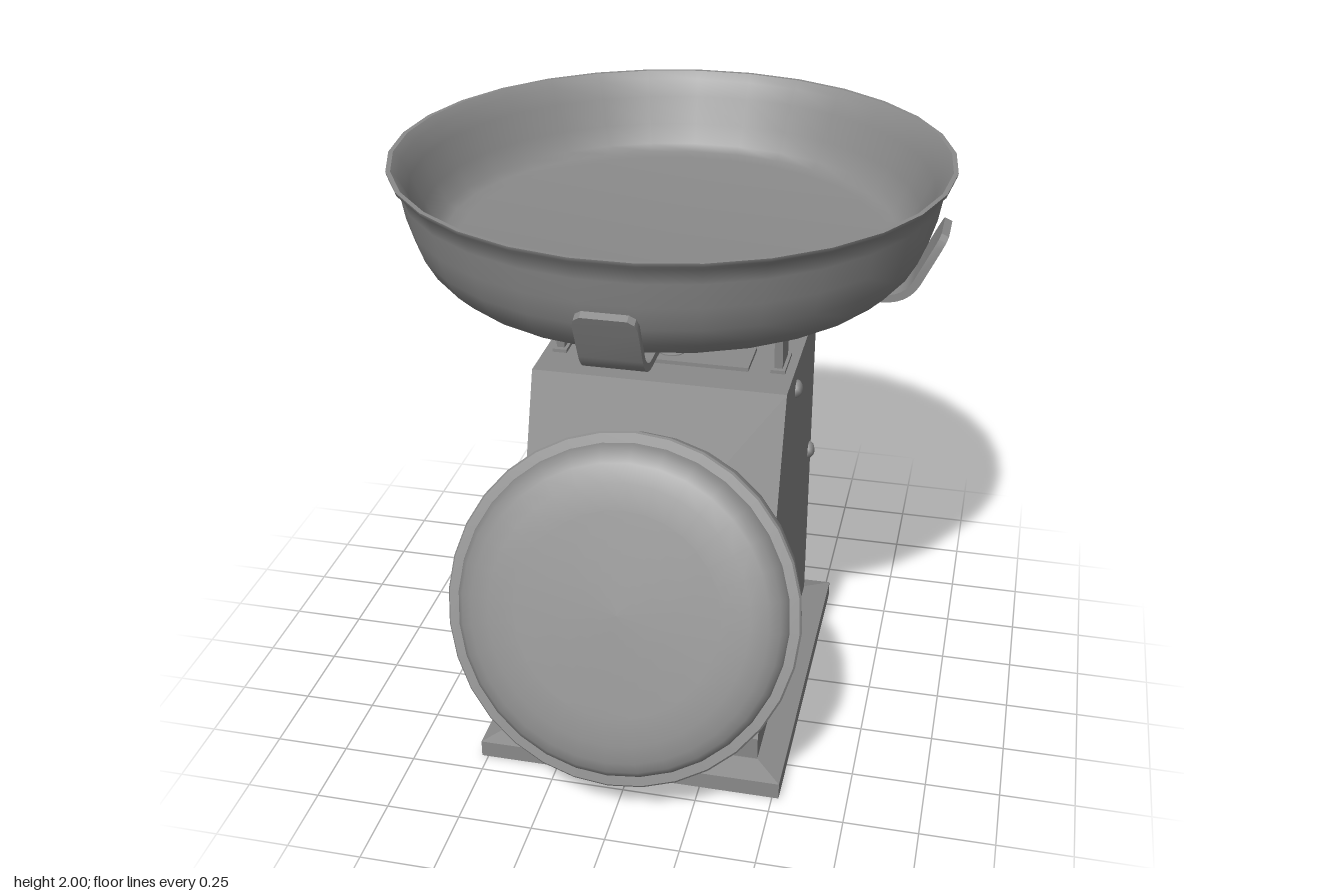
import * as THREE from 'three';
import { toCreasedNormals } from 'three/addons/utils/BufferGeometryUtils.js';

const material = new THREE.MeshStandardMaterial({ color: 0x8a8a8a });
const v2 = (p) => new THREE.Vector2(p[0], p[1]);
const AXIS_Z = -0.02; // weighing column sits slightly behind the centre

function part(name, geometry, x = 0, y = 0, z = 0) {
  const mesh = new THREE.Mesh(geometry, material);
  mesh.name = name;
  mesh.position.set(x, y, z);
  return mesh;
}

function lathe(profile, segments, start = 0) {
  return toCreasedNormals(new THREE.LatheGeometry(profile.map(v2), segments, start), 0.75);
}

// Box whose top face has its own width and depth, standing on y = 0
function taperedBox(w, h, d, topW = w, topD = d) {
  const g = new THREE.BoxGeometry(w, h, d).translate(0, h / 2, 0);
  const p = g.attributes.position;
  for (let i = 0; i < p.count; i++) {
    if (p.getY(i) > h / 2) p.setXYZ(i, p.getX(i) * topW / w, h, p.getZ(i) * topD / d);
  }
  return toCreasedNormals(g, 0.1);
}

// Bent flat bar: a rectangle swept along a path in the xy plane, width given per point
function flatBar(path, thickness, halfWidth) {
  const pos = [], index = [], n = path.length;
  path.forEach((p, i) => {
    const a = path[Math.max(i - 1, 0)], b = path[Math.min(i + 1, n - 1)];
    const t = b.clone().sub(a).normalize();
    const nx = -t.y * thickness / 2, ny = t.x * thickness / 2, w = halfWidth(p, i);
    for (const [s, z] of [[1, -w], [1, w], [-1, w], [-1, -w]]) pos.push(p.x + s * nx, p.y + s * ny, z);
  });
  for (let i = 0; i < n - 1; i++) {
    for (let k = 0; k < 4; k++) {
      const a = i * 4 + k, b = i * 4 + (k + 1) % 4;
      index.push(a, b, b + 4, a, b + 4, a + 4);
    }
  }
  const e = (n - 1) * 4;
  index.push(0, 2, 1, 0, 3, 2, e, e + 1, e + 2, e, e + 2, e + 3);
  const g = new THREE.BufferGeometry();
  g.setAttribute('position', new THREE.Float32BufferAttribute(pos, 3));
  g.setIndex(index);
  return toCreasedNormals(g, 0.6);
}

// Points from a to b, round the corner c, and on to d
function bend(a, b, c, d) {
  const curve = new THREE.QuadraticBezierCurve(v2(b), v2(c), v2(d));
  return [v2(a), ...curve.getPoints(6)];
}

export function createModel() {
  const model = new THREE.Group();
  model.name = 'kitchenScale';

  // Base slab with a shallow sloping top that meets the housing
  const base = new THREE.Group();
  base.name = 'base';
  base.add(
    part('baseSlab', taperedBox(1.045, 0.06, 1.245), 0, 0, 0.057),
    part('baseSlope', taperedBox(1.045, 0.025, 1.245, 0.87, 1.075), 0, 0.06, 0.057),
  );
  model.add(base);

  // Housing with sloping front
  const side = new THREE.Shape([[-0.477, 0.05], [0.59, 0.05], [0.595, 0.17], [0.2, 1.28], [-0.477, 1.28]].map(v2));
  const housing = new THREE.ExtrudeGeometry(side, { depth: 0.866, bevelEnabled: false });
  housing.translate(0, 0, -0.433).rotateY(-Math.PI / 2);
  model.add(part('housing', housing));

  // Domed screws on both sides
  for (const s of [-1, 1]) {
    for (const [y, z] of [[1.193, AXIS_Z], [0.735, -0.422]]) {
      const screw = part('sideScrew', new THREE.SphereGeometry(0.032, 8, 6), s * 0.434, y, z);
      screw.scale.x = 0.7;
      model.add(screw);
    }
  }

  // Tilted dial: rounded case, sharp flange and domed glass
  const dial = new THREE.Group();
  dial.name = 'dial';
  dial.add(
    part('dialCase', lathe([[0, -0.3], [0.4, -0.3], [0.46, -0.287], [0.505, -0.255], [0.54, -0.21], [0.562, -0.16],
      [0.572, -0.11], [0.57, -0.065], [0.56, -0.025], [0.586, 0], [0.58, 0.008], [0.545, 0.01]], 32)),
    part('dialGlass', lathe([[0.55, 0.005], [0.543, 0.027], [0.525, 0.048], [0.49, 0.065], [0.43, 0.077], [0.34, 0.081], [0, 0.081]], 32)),
  );
  dial.position.set(-0.007, 0.7, 0.698);
  dial.rotation.x = 1.19;
  model.add(dial);

  // Cover plate and adjusting knob on top of the housing
  model.add(part('topPlate', taperedBox(0.56, 0.014, 0.165), 0, 1.28, AXIS_Z));
  model.add(part('adjustingKnob', lathe([[0, 0], [0.05, 0], [0.05, 0.006], [0.025, 0.01], [0.025, 0.028],
    [0.037, 0.03], [0.037, 0.042], [0.015, 0.046], [0.012, 0.054], [0, 0.055]], 16), 0, 1.292, AXIS_Z));

  // Bent legs that carry the platform, narrowing downwards
  const legPath = bend([0.378, 1.26], [0.378, 1.45], [0.378, 1.523], [0.31, 1.523]);
  legPath.push(v2([0.255, 1.53]));
  for (const s of [0, 1]) {
    const leg = part('supportLeg', flatBar(legPath, 0.028, (p) => 0.055 + 0.021 * Math.min((p.y - 1.26) / 0.24, 1)), 0, 0, AXIS_Z);
    leg.rotation.y = s * Math.PI;
    model.add(leg);
    model.add(part('legSocket', taperedBox(0.05, 0.012, 0.15), s ? -0.378 : 0.378, 1.28, AXIS_Z));
  }
  model.add(part('crossBar', taperedBox(0.866, 0.032, 0.155), 0, 1.538, AXIS_Z));
  model.add(part('platform', taperedBox(1.06, 0.018, 0.34), 0, 1.568, AXIS_Z));

  // Two crossed cradle bars with upturned rounded ends
  const half = [v2([0.893, 1.82]), v2([0.887, 1.807]), ...bend([0.876, 1.784], [0.817, 1.66], [0.785, 1.597], [0.71, 1.597])];
  const mirrored = half.map((p) => new THREE.Vector2(-p.x, p.y));
  const cradlePath = [...mirrored, ...half.slice().reverse()];
  const last = cradlePath.length - 1;
  const cradleWidth = (p, i) => [0.07, 0.09][Math.min(i, last - i)] ?? 0.097;
  for (const s of [0, 1]) {
    const bar = part('cradleBar', flatBar(cradlePath, 0.026, cradleWidth), 0, s * 0.002, AXIS_Z);
    bar.rotation.y = s * Math.PI / 2;
    model.add(bar);
  }

  // Weighing pan: rounded outside up to the rim, then a straight inner wall down to a flat raised floor
  model.add(part('pan', lathe([[0, 1.608], [0.6, 1.61], [0.69, 1.622], [0.755, 1.65], [0.802, 1.695], [0.838, 1.76],
    [0.862, 1.84], [0.876, 1.92], [0.888, 1.97], [0.912, 1.988], [0.915, 2], [0.9, 2], [0.877, 1.975], [0.85, 1.92],
    [0.81, 1.83], [0.775, 1.763], [0.745, 1.742], [0.7, 1.735], [0, 1.735]], 30, Math.PI / 30), 0, 0, AXIS_Z));

  return model;
}
